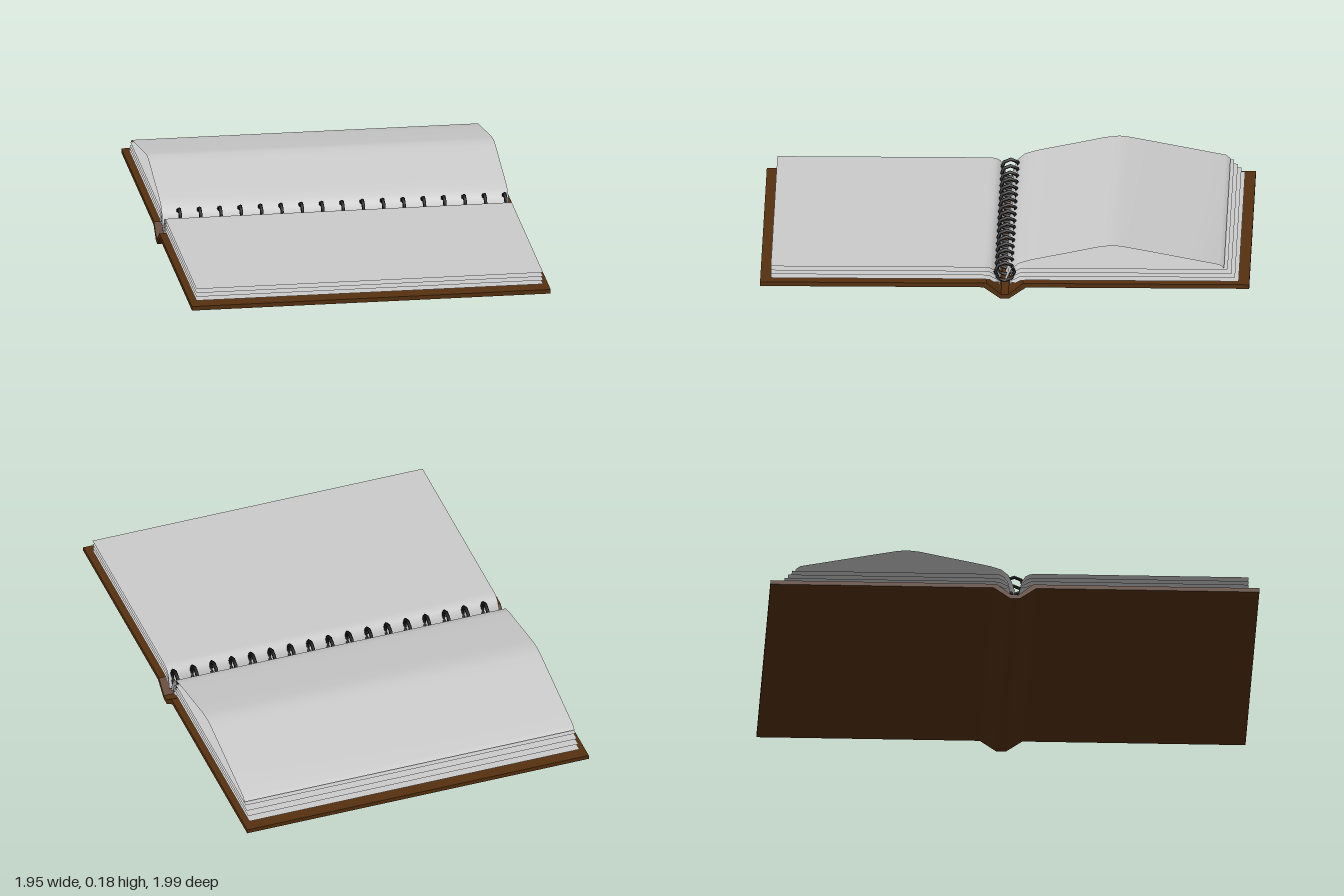
import * as THREE from 'three';

const COVER_HALF = 0.803, COVER_DEPTH = 1.19, PAGE_DEPTH = 1.15;

const paper = new THREE.MeshStandardMaterial({ color: 0xcccccc, side: THREE.DoubleSide });
const leather = new THREE.MeshStandardMaterial({ color: 0x55300f });
const wire = new THREE.MeshStandardMaterial({ color: 0x111111 });

// Thin sheet swept along the spine; the profile [x, y] runs from -x to +x.
function sheet(name, profile) {
  const geo = new THREE.PlaneGeometry(1, PAGE_DEPTH, profile.length - 1, 1);
  const pos = geo.attributes.position;
  for (let i = 0; i < pos.count; i++) {
    const [x, y] = profile[i % profile.length];
    pos.setXYZ(i, x, y, -pos.getY(i));
  }
  geo.computeVertexNormals();
  const mesh = new THREE.Mesh(geo, paper);
  mesh.name = name;
  return mesh;
}

// Flat leaf that bends down into the spine; side is +1 or -1.
function flatLeaf(side, y, end) {
  const profile = [[0.015, 0.035], [0.022, y * 0.5 + 0.02], [0.035, y - 0.01], [0.05, y - 0.002], [0.07, y], [end, y]]
    .map(([px, py]) => [side * px, py]);
  return side > 0 ? profile : profile.reverse();
}

// Two boards joined by a spine channel, extruded along the spine.
function cover() {
  const half = [[COVER_HALF, 0.038], [COVER_HALF, 0.052], [0.06, 0.052], [0.012, 0.014]];
  const bottom = [[0.015, 0], [0.07, 0.038]];
  const outline = [
    ...bottom, ...half,
    ...[...bottom, ...half].reverse().map(([x, y]) => [-x, y]),
  ].map(([x, y]) => new THREE.Vector2(x, y));
  const geo = new THREE.ExtrudeGeometry(new THREE.Shape(outline), { depth: COVER_DEPTH, bevelEnabled: false });
  geo.translate(0, 0, -COVER_DEPTH / 2);
  const mesh = new THREE.Mesh(geo, leather);
  mesh.name = 'cover';
  return mesh;
}

export function createModel() {
  const model = new THREE.Group();
  model.name = 'openRingNotebook';
  const book = new THREE.Group();
  book.name = 'notebook';
  book.rotation.y = -0.865;
  model.add(book);

  book.add(cover());

  // Stacked flat leaves on both boards
  [0.06, 0.073, 0.086, 0.1].forEach((y, i) => {
    book.add(sheet('rightLeaf', flatLeaf(1, y, 0.768)));
    book.add(sheet('leftLeaf', flatLeaf(-1, y - 0.003, 0.768 - i * 0.012)));
  });

  // Half-turned leaf arching over the left stack
  book.add(sheet('archedLeaf', [
    [-0.72, 0.102], [-0.705, 0.114], [-0.59, 0.136], [-0.47, 0.159], [-0.39, 0.174], [-0.355, 0.178],
    [-0.31, 0.173], [-0.22, 0.154], [-0.136, 0.137], [-0.08, 0.125], [-0.045, 0.114],
    [-0.022, 0.095], [-0.01, 0.07], [0, 0.038],
  ]));

  // Row of binding rings
  const ringGeo = new THREE.TorusGeometry(0.031, 0.006, 6, 8);
  const rings = new THREE.Group();
  rings.name = 'bindingRings';
  const count = 17;
  for (let i = 0; i < count; i++) {
    const ring = new THREE.Mesh(ringGeo, wire);
    ring.name = 'ring';
    ring.position.set(0, 0.081, THREE.MathUtils.lerp(-0.56, 0.52, i / (count - 1)));
    rings.add(ring);
  }
  book.add(rings);

  return model;
}
